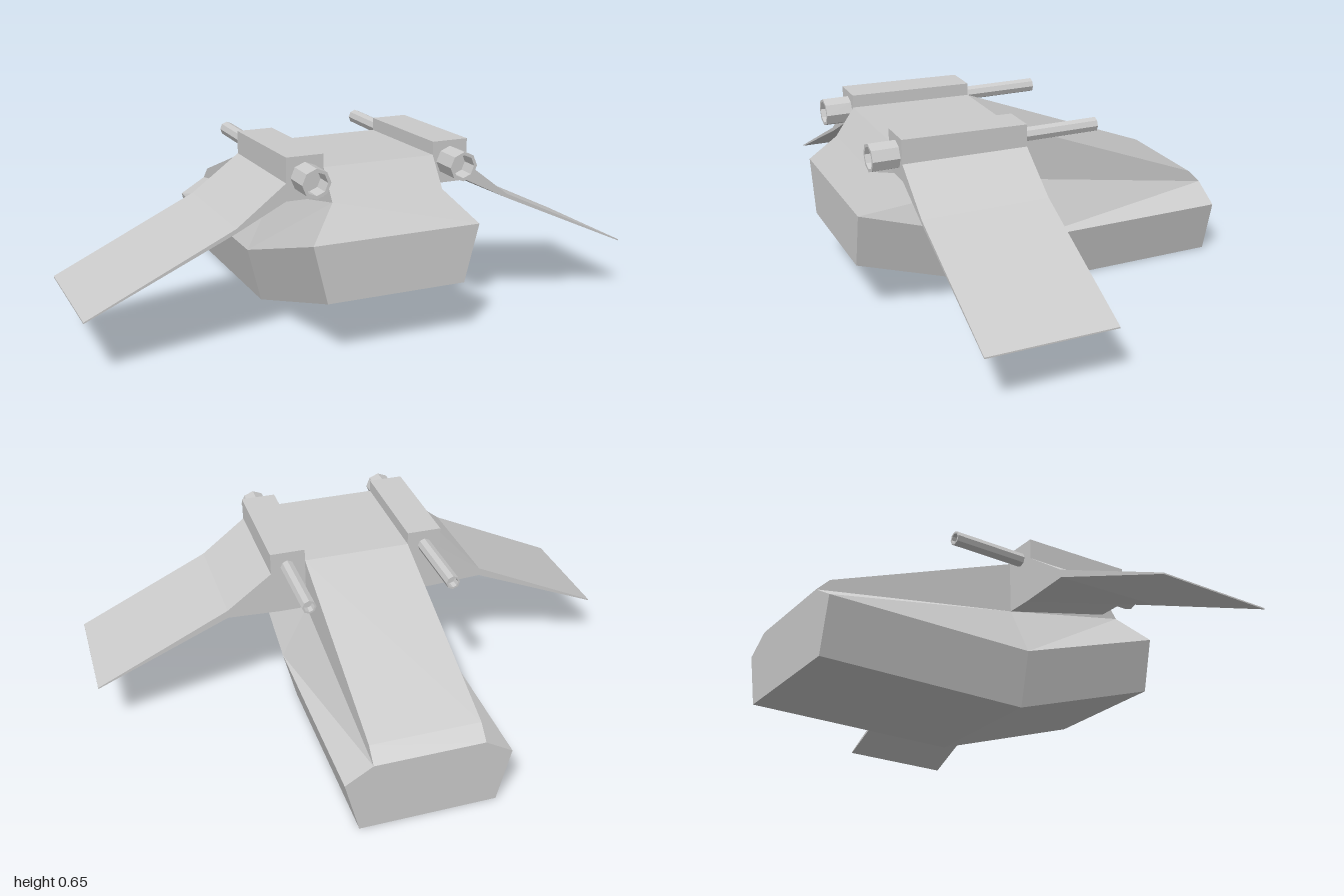
import * as THREE from 'three';

const material = new THREE.MeshStandardMaterial({ color: 0xcccccc, flatShading: true });

function addMesh(parent, name, geometry) {
  const mesh = new THREE.Mesh(geometry, material);
  mesh.name = name;
  parent.add(mesh);
  return mesh;
}

// Skins rings of [x, y, z] corners, ordered front to back, each counter-clockwise seen from +z.
// The ends are closed with quads joining corner i to corner n-1-i.
function loft(rings) {
  const positions = [];
  const quad = (a, b, c, d) => positions.push(...a, ...b, ...c, ...a, ...c, ...d);
  const n = rings[0].length;
  for (let r = 0; r < rings.length - 1; r++) {
    const A = rings[r], B = rings[r + 1];
    for (let i = 0; i < n; i++) {
      const j = (i + 1) % n;
      quad(A[i], B[i], B[j], A[j]);
    }
  }
  const front = rings[0], back = rings[rings.length - 1];
  for (let i = 0; i < n / 2 - 1; i++) {
    const k = n - 1 - i;
    quad(front[i], front[i + 1], front[k - 1], front[k]);
    quad(back[k], back[k - 1], back[i + 1], back[i]);
  }
  const geometry = new THREE.BufferGeometry();
  geometry.setAttribute('position', new THREE.Float32BufferAttribute(positions, 3));
  geometry.computeVertexNormals();
  return geometry;
}

const mirrorRing = (ring) => ring.map(([x, y, z]) => [-x, y, z]).reverse();

// Eight-sided hollow tube standing on y = 0 with a recess in its far end
function hollowTube(radius, inner, length, depth) {
  const profile = [
    [radius, 0], [radius, length], [inner, length], [inner, length - depth], [0, length - depth],
  ].map(([x, y]) => new THREE.Vector2(x, y));
  return new THREE.LatheGeometry(profile, 8);
}

export function createModel() {
  const model = new THREE.Group();
  model.name = 'winged craft';

  // Hull: keel, belt, shoulder and roof lines as [y, z] at three stations
  const halfWidths = [0.25, 0.3, 0.2, 0.2];
  const stations = [
    [[0.2, 0.7], [0.4, 0.7], [0.51, 0.62], [0.61, 0.55]],
    [[0, 0.1], [0.2, 0.1], [0.4, 0.1], [0.6, 0.1]],
    [[0, -0.7], [0.2, -0.7], [0.26, -0.7], [0.31, -0.65]],
  ];
  addMesh(model, 'hull', loft(stations.map((station) => {
    const half = station.map(([y, z], i) => [halfWidths[i], y, z]);
    return [...half, ...mirrorRing(half)];
  })));

  // Wing with its pod: the underside is deeper at the rear
  const wingFront = [
    [0.2, 0.51], [0.33, 0.51], [0.33, 0.51], [0.5, 0.425], [1, 0.2],
    [1, 0.205], [0.5, 0.44], [0.33, 0.57], [0.33, 0.655], [0.2, 0.655],
  ].map(([x, y]) => [x, y, 0.55]);
  const wingBack = [
    [0.2, 0.4], [0.3, 0.4], [0.3, 0.4], [0.5, 0.41], [1, 0.198],
    [1, 0.203], [0.5, 0.44], [0.33, 0.565], [0.33, 0.645], [0.2, 0.645],
  ].map(([x, y]) => [x, y, 0.1]);

  for (const [side, sign] of [['left', 1], ['right', -1]]) {
    const rings = [wingFront, wingBack];
    addMesh(model, side + 'Wing', loft(sign > 0 ? rings : rings.map(mirrorRing)));

    // Short wide nozzle ahead of the pod
    const nozzle = addMesh(model, side + 'Nozzle', hollowTube(0.05, 0.039, 0.1, 0.06));
    nozzle.rotation.x = Math.PI / 2;
    nozzle.position.set(sign * 0.265, 0.585, 0.545);

    // Long thin pipe behind the pod
    const pipe = addMesh(model, side + 'Pipe', hollowTube(0.026, 0.019, 0.3, 0.03));
    pipe.rotation.x = -Math.PI / 2;
    pipe.position.set(sign * 0.267, 0.586, 0.105);
  }
  return model;
}
